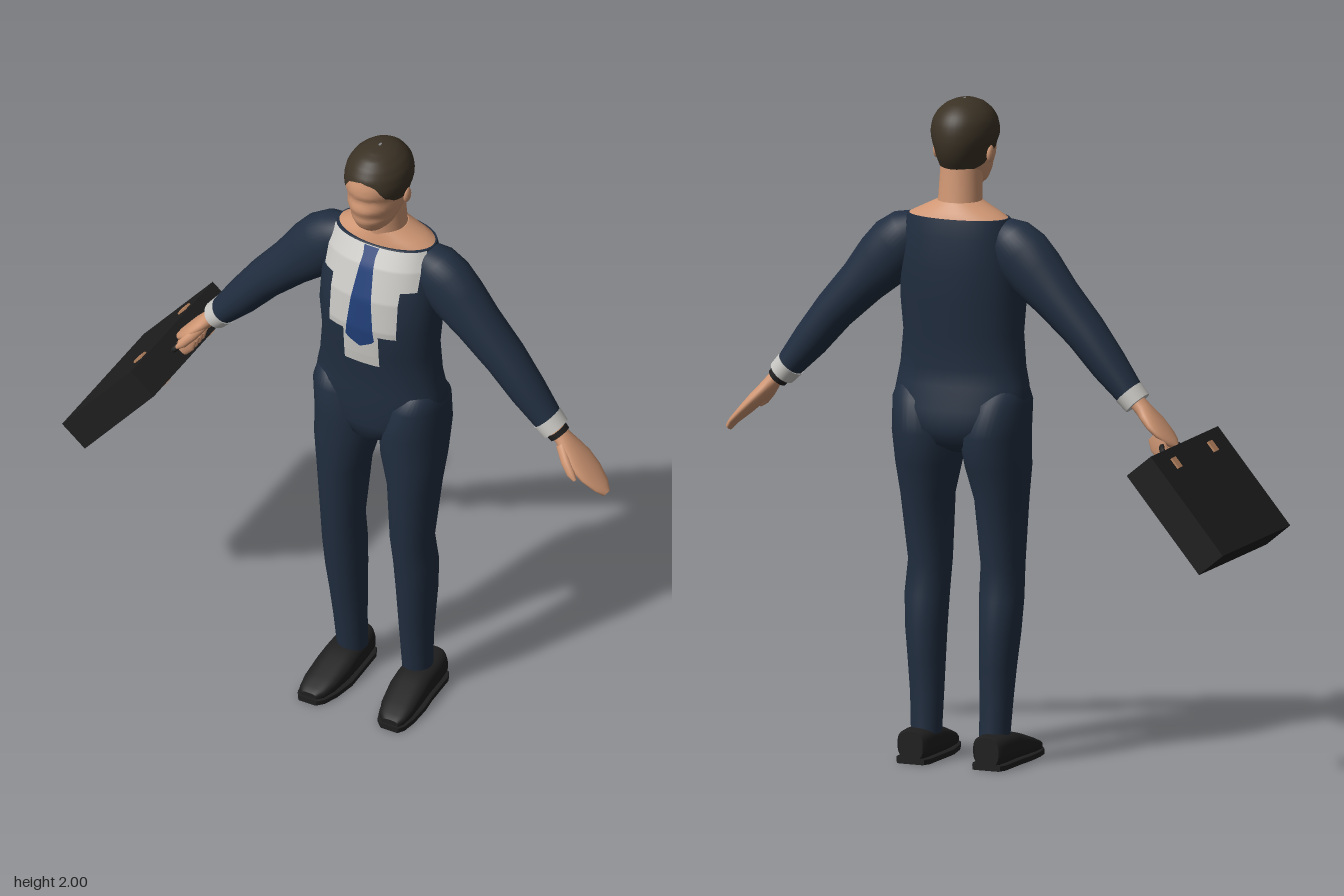
import * as THREE from 'three';

const mat = (name, color, side = THREE.FrontSide) => {
  const m = new THREE.MeshStandardMaterial({ color, side });
  m.name = name;
  return m;
};
const N = 40;

// Closed skin through equal-sized rings of points, with end caps; always faces outward
function skin(rings, caps = true) {
  const n = rings[0].length, pos = [], idx = [];
  const push = p => pos.push(p.x, p.y, p.z) / 3 - 1;
  rings.forEach(r => r.forEach(push));
  for (let j = 0; j < rings.length - 1; j++) for (let i = 0; i < n; i++) {
    const a = j * n + i, b = j * n + (i + 1) % n;
    idx.push(a, b, a + n, b, b + n, a + n);
  }
  if (caps) [[rings[0], 1], [rings.at(-1), 0]].forEach(([r, first]) => {
    const c = r.reduce((s, p) => s.add(p), new THREE.Vector3()).divideScalar(n);
    const ci = push(c), base = ci + 1;
    r.forEach(push);
    for (let i = 0; i < n; i++) {
      const a = base + i, b = base + (i + 1) % n;
      first ? idx.push(ci, b, a) : idx.push(ci, a, b);
    }
  });
  const g = new THREE.BufferGeometry();
  g.setAttribute('position', new THREE.Float32BufferAttribute(pos, 3));
  g.computeBoundingBox();
  const mid = g.boundingBox.getCenter(new THREE.Vector3());
  const pt = k => new THREE.Vector3().fromArray(pos, k * 3).sub(mid);
  let vol = 0;
  for (let i = 0; i < idx.length; i += 3) vol += pt(idx[i]).dot(pt(idx[i + 1]).cross(pt(idx[i + 2])));
  if (vol < 0) for (let i = 0; i < idx.length; i += 3) [idx[i], idx[i + 1]] = [idx[i + 1], idx[i]];
  g.setIndex(idx);
  g.computeVertexNormals();
  return g;
}

const superPow = (v, p) => Math.sign(v) * Math.abs(v) ** (2 / p);
// Point on a level section [y, cx, rx, zFront, zBack]; angle 0 is the front
function levelPoint([y, cx, rx, zf, zb], a, p = 2) {
  return new THREE.Vector3(cx + rx * superPow(Math.sin(a), p), y,
    (zf + zb) / 2 + (zf - zb) / 2 * superPow(Math.cos(a), p));
}
const ringOf = f => Array.from({ length: N }, (_, i) => f(i / N * Math.PI * 2));
const loft = (rows, p = 2, caps = true) => skin(rows.map(r => ringOf(a => levelPoint(r, a, p))), caps);

// Linear lookup in rows keyed by their first number
function lookup(rows, v) {
  const up = rows.at(-1)[0] > rows[0][0];
  let i = 0;
  while (i < rows.length - 2 && (up ? v > rows[i + 1][0] : v < rows[i + 1][0])) i++;
  const t = THREE.MathUtils.clamp((v - rows[i][0]) / (rows[i + 1][0] - rows[i][0]), 0, 1);
  return rows[i].map((q, k) => q + (rows[i + 1][k] - q) * t);
}

const TORSO = [
  [1.655, 0, .16, .08, -.092], [1.6, 0, .178, .115, -.103], [1.5, 0, .19, .15, -.107],
  [1.4, 0, .193, .16, -.1], [1.3, 0, .185, .152, -.09], [1.2, 0, .195, .14, -.082],
  [1.15, 0, .205, .143, -.088], [1.08, 0, .215, .142, -.105], [1.02, 0, .19, .138, -.11],
  [.97, 0, .1, .13, -.08], [.94, 0, .04, .08, -.02]];
const TP = 2.2;
const LEG = [
  [1.17, .14, .03, .07, -.01], [1.15, .138, .06, .115, -.05], [1.1, .124, .09, .14, -.09],
  [1.0, .108, .104, .145, -.112], [.9, .112, .098, .142, -.08], [.8, .119, .078, .14, -.06],
  [.6, .117, .065, .127, -.02], [.5, .12, .066, .11, -.037], [.4, .119, .061, .1, -.045],
  [.3, .115, .055, .085, -.042], [.2, .112, .05, .07, -.036], [.085, .11, .046, .055, -.04]];
const HEAD = [
  [2, 0, .004, .045, .03], [1.996, 0, .03, .08, 0], [1.985, 0, .055, .112, -.03], [1.965, 0, .078, .138, -.055],
  [1.94, 0, .093, .156, -.072], [1.91, 0, .099, .165, -.08], [1.885, 0, .097, .167, -.081],
  [1.865, 0, .089, .158, -.08], [1.83, 0, .082, .168, -.07], [1.8, 0, .074, .155, -.052],
  [1.785, 0, .069, .157, -.04], [1.755, 0, .056, .142, -.01], [1.735, 0, .035, .12, .03]];
const HAIRLINE = [[0, 1.935], [25, 1.925], [45, 1.88], [65, 1.855], [90, 1.845], [110, 1.81], [140, 1.795], [180, 1.795]];

// Band of the head between two heights that may vary with the angle
function headBand(top, bottom, steps) {
  const rings = [];
  for (let j = 0; j <= steps; j++) rings.push(ringOf(a => {
    const deg = a > Math.PI ? 360 - a * 180 / Math.PI : a * 180 / Math.PI;
    const hair = lookup(HAIRLINE, deg)[1], t = j / steps;
    const y0 = top ?? hair, y1 = bottom ?? hair;
    // finer steps near the crown
    const y = y0 + (y1 - y0) * (top ? t * t : t);
    return levelPoint(lookup(HEAD, y), a);
  }));
  return skin(rings, false);
}

// Thin panel lying on the chest; rows are [y, half width]
function chestPanel(rows, lift) {
  const cols = 24, steps = 32, g = new THREE.PlaneGeometry(1, 1, cols, steps), P = g.attributes.position;
  const y0 = rows[0][0], y1 = rows.at(-1)[0];
  for (let i = 0; i < P.count; i++) {
    const y = y1 + (P.getY(i) + .5) * (y0 - y1);
    const [, , rx, zf, zb] = lookup(TORSO, y);
    const x = P.getX(i) * 2 * Math.min(lookup(rows, y)[1], rx * .95);
    const z = (zf + zb) / 2 + (zf - zb) / 2 * (1 - (Math.abs(x) / rx) ** TP) ** (1 / TP);
    P.setXYZ(i, x * (1 + lift), y, z + lift);
  }
  g.computeVertexNormals();
  return g;
}

// Arm parts: rows are [distance along arm, upper reach, lower reach, half depth, z centre]
function armSkin(rows, s) {
  const dx = .68, dy = -.735;
  return skin(rows.map(([d, up, down, rz, zc = .003]) => ringOf(a => {
    const q = (up - down) / 2 + (up + down) / 2 * Math.cos(a);
    return new THREE.Vector3(s * (.17 + d * dx - q * dy), 1.565 + d * dy + q * dx, zc + rz * Math.sin(a));
  })));
}

// Shoe parts: rows are [z, half width, top, x offset]
function shoeSkin(rows, s, y0, p) {
  return skin(rows.map(([z, w, h, off = 0]) => ringOf(a => new THREE.Vector3(
    s * (.122 + off) + w * superPow(Math.cos(a), p), (y0 + h) / 2 + (h - y0) / 2 * superPow(Math.sin(a), p), z))));
}

export function createModel() {
  const navy = mat('navy suit', 0x212e40), skinTone = mat('skin', 0xcf9673), hair = mat('brown hair', 0x3b3225);
  const white = mat('white shirt', 0xc9c8c4, THREE.DoubleSide), blue = mat('blue tie', 0x213f78, THREE.DoubleSide);
  const black = mat('black leather', 0x1e1e1f), copper = mat('copper', 0xb98560);
  const model = new THREE.Group(), body = new THREE.Group();
  body.name = 'body';
  body.position.x = .107;
  model.add(body);
  const add = (name, geo, m, parent = body) => {
    const mesh = new THREE.Mesh(geo, m);
    mesh.name = name;
    parent.add(mesh);
    return mesh;
  };

  // Torso with shirt and tie
  add('jacket', loft(TORSO, TP), navy);
  [[1.654, 1.54, .155], [1.54, 1.38, .112], [1.38, 1.265, .058]].forEach(([a, b, w]) =>
    add('shirtFront', chestPanel([[a, w], [b, w]], .005), white));
  add('tie', chestPanel([[1.654, .025], [1.63, .02], [1.36, .048], [1.335, .002]], .009), blue);

  // Neck and head
  add('collarbone', loft([[1.65, 0, .158, .078, -.09], [1.657, 0, .155, .077, -.089], [1.672, 0, .125, .074, -.08],
    [1.7, 0, .068, .068, -.063]]), skinTone);
  add('neck', loft([[1.66, 0, .07, .072, -.07], [1.7, 0, .066, .07, -.061], [1.82, 0, .062, .085, -.048]]), skinTone);
  add('hair', headBand(2, null, 20), hair);
  add('face', headBand(null, 1.735, 20), skinTone);
  add('chin', loft([[1.735, 0, .035, .12, .03], [1.731, 0, .018, .1, .05]]), skinTone);

  for (const s of [1, -1]) {
    const side = s > 0 ? 'left' : 'right';
    const ear = add(side + 'Ear', new THREE.SphereGeometry(1, 14, 10), skinTone);
    ear.scale.set(.011, .026, .018);
    ear.position.set(s * .086, 1.84, .03);

    // Leg and shoe
    add(side + 'Leg', loft(LEG.map(([y, x, ...r]) => [y, s * x, ...r])), navy);
    add(side + 'Shoe', shoeSkin([[-.08, .038, .098], [-.065, .05, .102], [-.02, .055, .102], [.05, .057, .097],
      [.1, .058, .084, .002], [.17, .053, .06, .008], [.21, .042, .045, .013], [.228, .026, .034, .016]], s, .01, 2.8), black);
    add(side + 'Sole', shoeSkin([[-.083, .044, .018], [-.06, .055, .018], [.05, .06, .018], [.1, .064, .018, .002],
      [.17, .058, .018, .008], [.215, .046, .018, .013], [.235, .03, .018, .016]], s, 0, 12), black);

    // Sleeve, cuff and hand
    add(side + 'Sleeve', armSkin([[-.085, .02, .02, .02], [-.07, .055, .045, .05], [-.03, .086, .07, .07],
      [.03, .102, .079, .076], [.1, .1, .079, .074], [.2, .085, .061, .07], [.33, .077, .048, .066],
      [.45, .062, .049, .058], [.565, .042, .04, .047]], s), navy);
    add(side + 'Cuff', armSkin([[.55, .046, .044, .051], [.592, .043, .041, .048]], s), white);
    const reach = s > 0 ? 1 : .72;
    const hand = [[.58, .026, .024, .028], [.625, .027, .02, .03], [.66, .026, .02, .042], [.71, .026, .018, .054],
      [.76, .024, .012, .052], [.81, .022, .004, .036], [.838, .018, .004, .016]];
    add(side + 'Hand', armSkin(hand.map(([d, ...r]) => [.58 + (d - .58) * reach, ...r]), s), skinTone);
    add(side + 'Thumb', armSkin([[.635, .016, .016, .014, .025], [.68, .012, .02, .014, .047],
      [.72, .008, .02, .012, .06], [.745, 0, .012, .006, .064]], s), skinTone);
    if (s > 0) add('watchBand', armSkin([[.598, .034, .032, .036], [.614, .033, .031, .035]], s), black);
    else for (let i = 0; i < 4; i++)   // fingers curled round the case handle
      add('curledFinger', armSkin([[.7, .012, .03, .008], [.73, .012, .046, .011], [.765, 0, .046, .011], [.78, -.01, .036, .006]]
        .map(r => [...r, -.033 + i * .022]), s), skinTone);
  }

  // Briefcase, tilted with the right arm
  const briefcase = new THREE.Group();
  briefcase.name = 'briefcase';
  briefcase.position.set(-.696, .855, 0);
  briefcase.rotation.z = -.693;
  model.add(briefcase);
  add('caseShell', new THREE.BoxGeometry(.1, .365, .5), black, briefcase);
  const handle = add('caseHandle', new THREE.TorusGeometry(.06, .009, 8, 20, Math.PI), black, briefcase);
  handle.rotation.y = Math.PI / 2;
  handle.scale.y = .65;
  handle.position.y = .18;
  for (const x of [-.052, .052]) for (const z of [-.135, .135])
    add('clasp', new THREE.BoxGeometry(.008, .036, .03), copper, briefcase).position.set(x, .133, z);
  return model;
}
